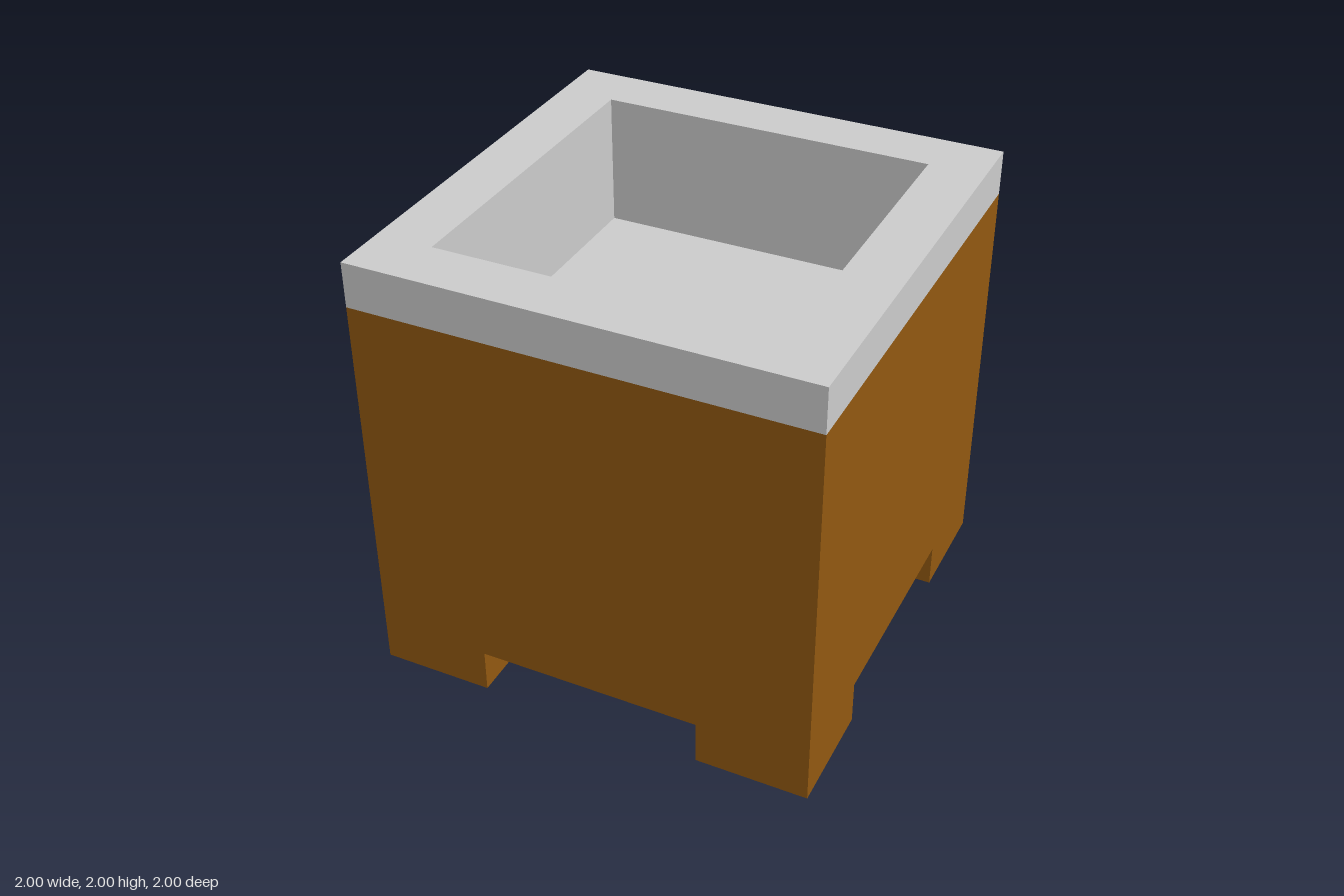
import * as THREE from 'three';

const wood = new THREE.MeshStandardMaterial({ color: 0x915810, flatShading: true });
const stone = new THREE.MeshStandardMaterial({ color: 0xcccccc, flatShading: true });

// Square shell swept from a profile of [half width, height] points
function squareShell(name, profile, material) {
  const points = profile.map(([half, y]) => new THREE.Vector2(half * Math.SQRT2, y));
  const geometry = new THREE.LatheGeometry(points, 4, Math.PI / 4).toNonIndexed();
  geometry.computeVertexNormals();
  const mesh = new THREE.Mesh(geometry, material);
  mesh.name = name;
  return mesh;
}

export function createModel() {
  const model = new THREE.Group();
  model.name = 'planterBox';

  // Wooden underside and outer walls
  model.add(squareShell('body', [[0, 0.2], [1, 0.2], [1, 1.8]], wood));

  // Rim, inner walls and floor of the cavity
  model.add(squareShell('rimAndBasin',
    [[1, 1.8], [1, 2], [0.75, 2], [0.75, 1.4], [0, 1.4]], stone));

  // Four corner feet
  for (const x of [-1, 1]) {
    for (const z of [-1, 1]) {
      const foot = new THREE.Mesh(new THREE.BoxGeometry(0.5, 0.2, 0.5), wood);
      foot.position.set(x * 0.75, 0.1, z * 0.75);
      foot.name = (z > 0 ? 'front' : 'back') + (x > 0 ? 'Left' : 'Right') + 'Foot';
      model.add(foot);
    }
  }
  return model;
}
